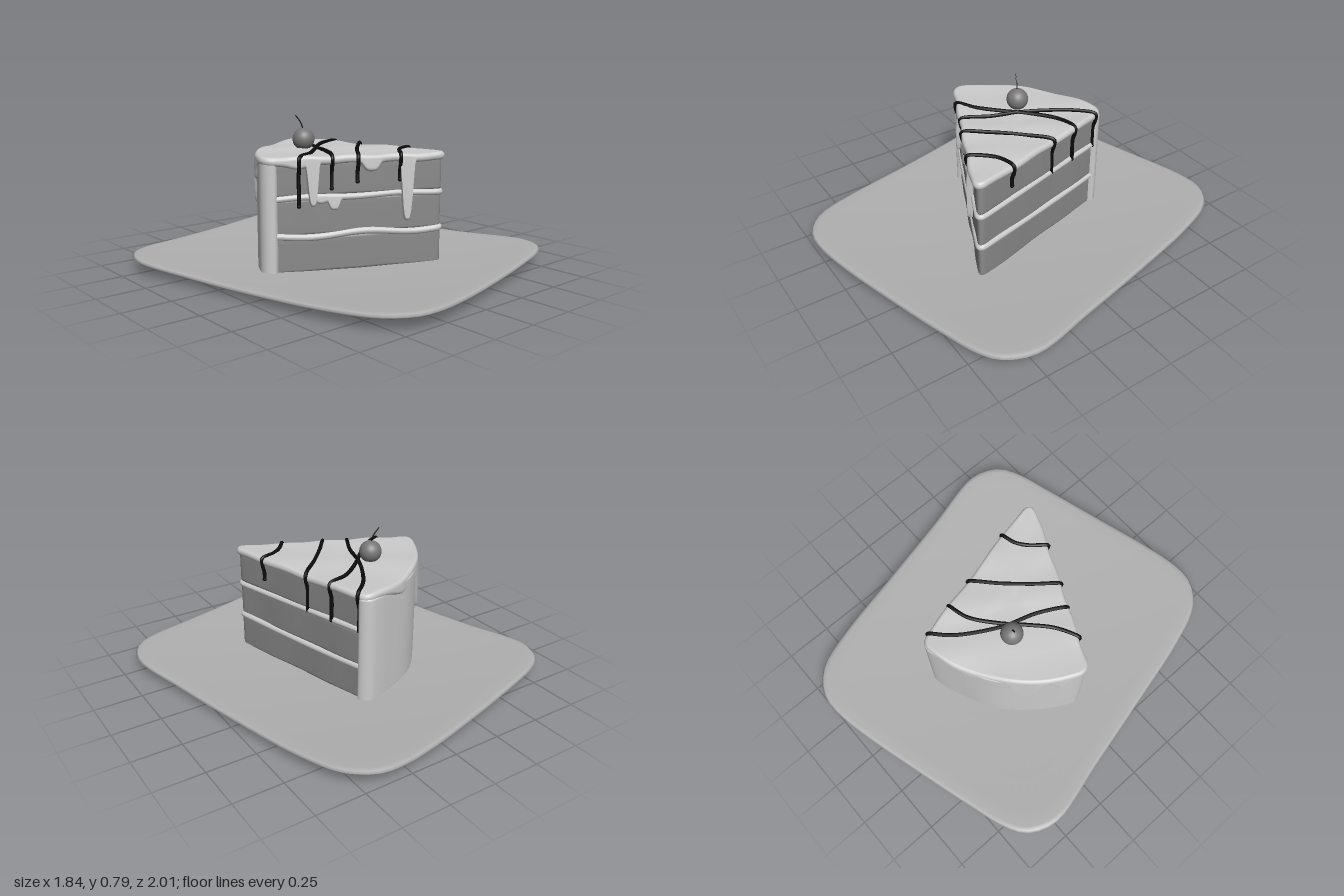
import * as THREE from 'three';

const mat = (color) => new THREE.MeshStandardMaterial({ color, roughness: 0.7 });
const CREAM = mat(0xcccccc), SPONGE = mat(0x8a8a8a), PLATE = mat(0xb0b0b0);
const CHERRY = mat(0x777777), SAUCE = mat(0x0c0c0c);

// Skin a stack of equal rings (counter-clockwise from above, bottom to top) and cap both ends
function loft(rings) {
  const n = rings[0].length, pos = [], idx = [];
  rings.forEach((r) => r.forEach((p) => pos.push(p.x, p.y, p.z)));
  for (let k = 0; k < rings.length - 1; k++) {
    for (let i = 0; i < n; i++) {
      const a = k * n + i, b = k * n + (i + 1) % n;
      idx.push(a, b, b + n, a, b + n, a + n);
    }
  }
  [0, rings.length - 1].forEach((k) => {
    const c = new THREE.Vector3();
    rings[k].forEach((p) => c.addScaledVector(p, 1 / n));
    const ci = pos.length / 3;
    pos.push(c.x, c.y, c.z);
    for (let i = 0; i < n; i++) {
      const a = k * n + i, b = k * n + (i + 1) % n;
      if (k) idx.push(ci, a, b); else idx.push(ci, b, a);
    }
  });
  const g = new THREE.BufferGeometry();
  g.setAttribute('position', new THREE.Float32BufferAttribute(pos, 3));
  g.setIndex(idx);
  g.computeVertexNormals();
  return g;
}

// Wedge outline in (x, z): a pointed tip and a curved back, with rounded corners
const V = (x, y) => new THREE.Vector2(x, y);
const TIP = V(0.345, 0.435), RIGHT = V(0.12, -0.46), LEFT = V(-0.5, 0.04), BACK = V(-0.315, -0.37);
function wedgeOutline() {
  const toward = (a, b, d) => a.clone().add(b.clone().sub(a).setLength(d));
  const s = new THREE.Shape();
  const line = (p) => s.lineTo(p.x, p.y);
  const curve = (c, p) => s.quadraticCurveTo(c.x, c.y, p.x, p.y);
  const start = toward(TIP, LEFT, 0.06);
  s.moveTo(start.x, start.y);
  curve(TIP, toward(TIP, RIGHT, 0.06));
  line(toward(RIGHT, TIP, 0.04));
  curve(RIGHT, toward(RIGHT, BACK, 0.04));
  curve(BACK, toward(LEFT, BACK, 0.05));
  curve(LEFT, toward(LEFT, TIP, 0.05));
  line(start);
  const pts = s.getSpacedPoints(400);
  pts.pop();
  return pts;
}
const OUT = wedgeOutline();
const NORM = OUT.map((p, i) => {
  const t = OUT[(i + 1) % OUT.length].clone().sub(OUT[(i + OUT.length - 1) % OUT.length]).normalize();
  return V(-t.y, t.x);
});
const CENTRE = V(-0.02, 0);

// Rounded wedge layer; drips are [x, z, halfWidth, depth, sharpness] pulled down from its lower edge
function slab(y0, y1, r, { off = () => 0, drips = [], wave = () => 0, bump = 0 } = {}) {
  const ring = (inset, y, hang, scale = 1) => OUT.map((p, i) => {
    let d = 0;
    for (const [x, z, w, depth, e] of drips) {
      d = Math.max(d, depth * Math.exp(-Math.pow(Math.hypot(p.x - x, p.y - z) / w, e)));
    }
    const o = off(p) - inset + (inset < r ? Math.min(d, 0.1) * 0.08 * hang : 0);
    const q = p.clone().addScaledVector(NORM[i], o).sub(CENTRE).multiplyScalar(scale).add(CENTRE);
    const b = bump * Math.sin(q.x * 17 + 1) * Math.cos(q.y * 14 + q.x * 6);
    return new THREE.Vector3(q.x, y - d * hang + wave(p) + b, q.y);
  });
  const rings = [ring(r + 0.012, y0 + r * 0.3, 1)];
  for (let k = 0; k <= 4; k++) {
    const a = (k / 4) * Math.PI / 2;
    rings.push(ring(r * (1 - Math.sin(a)), y0 + r * (1 - Math.cos(a)), 1));
  }
  for (const t of [0.3, 0.6, 0.85]) rings.push(ring(0, y0 + r + (y1 - y0 - 2 * r) * t, 1 - t));
  for (let k = 0; k <= 4; k++) {
    const a = (k / 4) * Math.PI / 2;
    rings.push(ring(r * (1 - Math.cos(a)), y1 - r + r * Math.sin(a), 0));
  }
  for (const s of [0.85, 0.65, 0.45, 0.25]) rings.push(ring(r, y1, 0, s));
  return loft(rings);
}

// Shallow rounded-square dish, turned slightly on the table
function plateGeometry() {
  const half = [[-0.92, -0.47], [-0.9, -0.58], [-0.85, -0.66], [-0.75, -0.72], [-0.58, -0.775],
    [-0.25, -0.87], [0.1, -0.965], [0.28, -1], [0.4, -1], [0.48, -0.965], [0.56, -0.885],
    [0.64, -0.68], [0.74, -0.28], [0.84, 0.14]];
  const pts = [...half, ...half.map(([x, z]) => [-x, -z])].reverse()
    .map(([x, z]) => new THREE.Vector3(x, 0, z));
  const edge = new THREE.CatmullRomCurve3(pts, true).getSpacedPoints(120);
  edge.pop();
  const ring = (s, y) => edge.map((p) => {
    const x = p.x * s, z = p.z * s;
    return new THREE.Vector3(x, y + 0.043 * (x * x + z * z), z);
  });
  const under = [0.15, 0.35, 0.55, 0.75, 0.9].map((s) => ring(s, 0));
  const rim = [[0.97, 0.003], [0.99, 0.009], [1, 0.018], [0.99, 0.028], [0.97, 0.033]].map(([s, y]) => ring(s, y));
  const top = [0.9, 0.75, 0.55, 0.35, 0.15].map((s) => ring(s, 0.033));
  return loft([...under, ...rim, ...top]);
}

export function createModel() {
  const model = new THREE.Group();
  const add = (name, geometry, material) => {
    const m = new THREE.Mesh(geometry, material);
    m.name = name;
    model.add(m);
    return m;
  };
  const faceZ = (x) => 0.04 + (x + 0.5) * 0.467;

  add('plate', plateGeometry(), PLATE);

  // Three sponge layers
  [[0.032, 0.215], [0.22, 0.405], [0.415, 0.585]].forEach(([a, b], k) => {
    const off = (p) => 0.004 * Math.sin(p.x * 19 + k * 2) * Math.cos(p.y * 11);
    add('spongeLayer' + (k + 1), slab(a, b, 0.016, { off }), SPONGE);
  });

  // Cream fillings
  add('lowerFilling', slab(0.2, 0.235, 0.016, {
    off: () => 0.011, wave: (p) => 0.009 * Math.sin(p.x * 13 + 2.2),
  }), CREAM);
  add('upperFilling', slab(0.392, 0.424, 0.015, {
    off: () => 0.011, wave: (p) => 0.004 * Math.sin(p.x * 15),
    drips: [[-0.19, faceZ(-0.19), 0.03, 0.05, 4], [-0.25, faceZ(-0.25), 0.04, 0.02, 2]],
  }), CREAM);

  // Frosting wall covering only the curved back
  add('backFrosting', slab(0.032, 0.59, 0.012, {
    off: (p) => -0.03 + 0.048 * THREE.MathUtils.smoothstep(p.distanceTo(TIP), 0.85, 0.89)
      + 0.003 * Math.sin(p.x * 21),
  }), CREAM);

  // Top icing with its drips
  add('icing', slab(0.57, 0.612, 0.018, {
    off: (p) => 0.02 + 0.004 * Math.sin(p.x * 23 + p.y * 9),
    bump: 0.006,
    drips: [
      [-0.29, faceZ(-0.29), 0.027, 0.21, 4], [-0.02, faceZ(-0.02), 0.045, 0.04, 4],
      [0.15, faceZ(0.15), 0.03, 0.3, 4], [-0.35, faceZ(-0.35), 0.06, 0.025, 2],
      [-0.34, -0.21, 0.06, 0.24, 2], [-0.47, -0.08, 0.04, 0.12, 2],
      [-0.14, -0.37, 0.1, 0.035, 2],
    ],
  }), CREAM);

  // Sauce lines: path over the top, then the heights where each end stops
  const lines = [
    [[[0.145, -0.42], [0.06, -0.34], [-0.02, -0.22], [-0.08, -0.1], [-0.13, 0.05], [-0.205, 0.19]], 0.41, 0.45],
    [[[0.19, -0.25], [0.08, -0.22], [-0.05, -0.12], [-0.15, -0.02], [-0.25, 0.07], [-0.36, 0.128]], 0.41, 0.37],
    [[[0.227, -0.09], [0.11, 0.02], [0, 0.14], [-0.09, 0.252]], 0.41, 0.48],
    [[[0.308, 0.205], [0.23, 0.225], [0.17, 0.27], [0.11, 0.345]], 0.49, 0.48],
  ];
  const right = V(-0.011, 0.003), front = V(0.005, -0.011);
  lines.forEach(([path, yStart, yEnd], k) => {
    const hang = ([x, z], inward, y) => [
      new THREE.Vector3(x, 0.608, z), new THREE.Vector3(x, 0.57, z),
      new THREE.Vector3(x + inward.x, 0.53, z + inward.y),
      new THREE.Vector3(x + inward.x, y, z + inward.y),
    ];
    const pts = [
      ...hang(path[0], right, yStart).reverse(),
      ...path.slice(1, -1).map(([x, z]) => new THREE.Vector3(x, 0.616, z)),
      ...hang(path[path.length - 1], front, yEnd),
    ];
    const curve = new THREE.CatmullRomCurve3(pts);
    add('sauceLine' + (k + 1), new THREE.TubeGeometry(curve, 90, 0.01, 8), SAUCE);
    [pts[0], pts[pts.length - 1]].forEach((p) => {
      add('sauceLineEnd', new THREE.SphereGeometry(0.011, 10, 8), SAUCE).position.copy(p);
    });
  });

  // Cherry and stem
  add('cherry', new THREE.SphereGeometry(0.057, 32, 20), CHERRY).position.set(-0.14, 0.66, -0.12);
  const stem = new THREE.CatmullRomCurve3([
    new THREE.Vector3(-0.14, 0.7, -0.12), new THREE.Vector3(-0.153, 0.745, -0.125),
    new THREE.Vector3(-0.18, 0.785, -0.135),
  ]);
  add('cherryStem', new THREE.TubeGeometry(stem, 16, 0.003, 6), SAUCE);

  return model;
}
